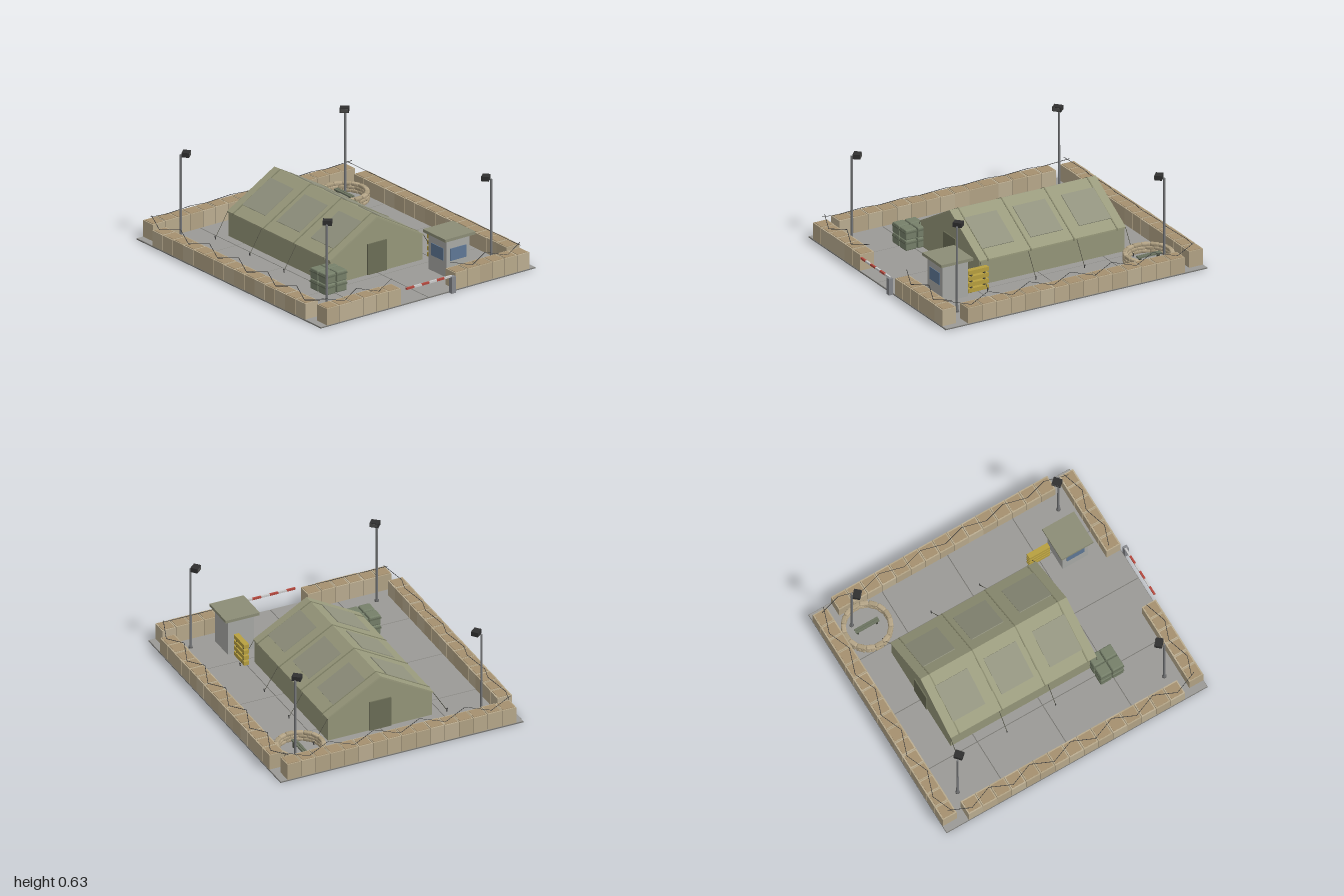
import * as THREE from 'three';
import { RoundedBoxGeometry } from 'three/addons/geometries/RoundedBoxGeometry.js';

const CX = -0.015; // middle of the compound in x
const mats = {};
const mat = (color) => (mats[color] ??= new THREE.MeshStandardMaterial({ color, flatShading: true }));

function add(parent, name, geometry, color, x = 0, y = 0, z = 0) {
  const mesh = new THREE.Mesh(geometry, mat(color));
  mesh.name = name;
  mesh.position.set(x, y, z);
  parent.add(mesh);
  return mesh;
}
const box = (parent, name, color, w, h, d, x, y, z) =>
  add(parent, name, new THREE.BoxGeometry(w, h, d), color, x, y, z);

function group(parent, name, x = 0, y = 0, z = 0) {
  const g = new THREE.Group();
  g.name = name;
  g.position.set(x, y, z);
  parent.add(g);
  return g;
}

// thin round bar between two points
function bar(parent, name, color, a, b, r, sides = 5) {
  const from = new THREE.Vector3(...a), to = new THREE.Vector3(...b);
  const dir = to.clone().sub(from);
  const m = add(parent, name, new THREE.CylinderGeometry(r, r, dir.length(), sides), color);
  m.position.copy(from).add(to).multiplyScalar(0.5);
  m.quaternion.setFromUnitVectors(new THREE.Vector3(0, 1, 0), dir.normalize());
  return m;
}

// (z, y) outline extruded along x, centred on its length
function alongX(points, length) {
  const shape = new THREE.Shape(points.map(([z, y]) => new THREE.Vector2(-z, y)));
  const geo = new THREE.ExtrudeGeometry(shape, { depth: length, bevelEnabled: false });
  return geo.translate(0, 0, -length / 2).rotateY(Math.PI / 2);
}

let seed = 7;
const rand = () => (seed = (seed * 16807) % 2147483647) / 2147483647;

// row of earth-filled bins running along local x, with zigzag wire above
function binWall(parent, name, x, z, length, count, height, turn, wireLength, segments) {
  const wall = group(parent, name, x, 0, z);
  wall.rotation.y = turn;
  const step = length / count;
  const shades = [0xb9aa8c, 0xb3a486, 0xbcae92];
  for (let i = 0; i < count; i++) {
    const bx = -length / 2 + (i + 0.5) * step;
    const h = height - 0.012 + rand() * 0.004;
    box(wall, 'bin', shades[Math.floor(rand() * 3)], step * 0.97, h, 0.105, bx, 0.008 + h / 2, 0);
    box(wall, 'earthFill', 0xa5906f, step * 0.82, 0.004, 0.086, bx, 0.009 + h, 0);
  }
  const point = (i) => [-wireLength / 2 + (i * wireLength) / segments, height + (i % 2 ? 0.008 : 0.045), i % 2 ? 0.027 : -0.027];
  for (let i = 0; i < segments; i++) bar(wall, 'wire', 0x3a3a3a, point(i), point(i + 1), 0.002, 4);
}

function buildTent(parent) {
  const tent = group(parent, 'tent', -0.125, 0.008, 0);
  const canvas = 0x96977a, dark = 0x6c6e57;
  const eave = 0.17, ridge = 0.385, half = 0.375;
  add(tent, 'tentBody', alongX([[-half, 0], [half, 0], [half, eave], [0, ridge], [-half, eave]], 1.09), canvas);
  const chevron = (out, t) => [[-half - out, eave - t], [-half - out, eave + t], [0, ridge + t + 0.003],
    [half + out, eave + t], [half + out, eave - t], [0, ridge - t]];
  add(tent, 'roof', alongX(chevron(0.008, 0.005), 1.1), 0x9a9b7d);
  for (const x of [-0.485, -0.162, 0.162, 0.485])
    add(tent, 'roofRib', alongX(chevron(0.01, 0.009), 0.008), 0x85866a, x);

  // window flaps on both slopes
  const slope = Math.atan2(ridge - eave, half);
  for (const s of [-1, 1]) {
    for (const x of [-0.365, 0, 0.365]) {
      const flap = box(tent, 'roofWindow', 0x92937f, 0.242, 0.006, 0.265, x, ridge - 0.19 * Math.tan(slope) + 0.01, s * 0.192);
      flap.rotation.x = s * slope;
    }
    // end doors
    box(tent, 'door', dark, 0.012, 0.215, 0.155, s * 0.547, 0.1075, 0);
    // guy ropes and stakes
    for (const x of [-0.55, -0.183, 0.183, 0.546]) {
      bar(tent, 'guyRope', 0x4a4a3e, [x, eave, s * 0.38], [x, 0.01, s * 0.48], 0.002, 4);
      bar(tent, 'stake', 0x444444, [x, 0, s * 0.478], [x, 0.025, s * 0.483], 0.004);
    }
  }
}

function buildBooth(parent) {
  const booth = group(parent, 'guardBooth', 0.673, 0.008, -0.397);
  box(booth, 'boothBody', 0xa9aaa6, 0.19, 0.258, 0.19, 0, 0.129, 0);
  box(booth, 'boothRoof', 0x8c8d76, 0.24, 0.02, 0.245, 0, 0.268, 0);
  box(booth, 'frontWindow', 0x5f7896, 0.13, 0.085, 0.006, 0, 0.152, 0.096);
  box(booth, 'sideWindow', 0x5f7896, 0.006, 0.085, 0.13, 0.096, 0.152, 0);

  // stacked yellow rails beside the booth
  const rails = group(parent, 'yellowRails', 0.478, 0.008, -0.442);
  for (let i = 0; i < 4; i++) box(rails, 'rail', 0xb8a040, 0.155, 0.028, 0.036, 0, 0.02 + i * 0.042, 0);
  for (const x of [-0.05, 0.05]) box(rails, 'railSpacer', 0x4c4a3a, 0.012, 0.15, 0.026, x, 0.077, 0);
}

function buildLight(parent, sx, sz) {
  const light = group(parent, 'lightMast', CX + sx * 0.78, 0.008, sz * 0.67);
  add(light, 'mastFoot', new THREE.CylinderGeometry(0.014, 0.016, 0.012, 8), 0x666666, 0, 0.006, 0);
  add(light, 'mast', new THREE.CylinderGeometry(0.007, 0.009, 0.6, 8), 0x77797b, 0, 0.3, 0);
  // lamp turned toward the middle of the compound
  const head = group(light, 'lampHead', -sx * 0.025, 0.607, -sz * 0.025);
  head.rotation.y = Math.atan2(-sx * 0.78, -sz * 0.67);
  box(head, 'lampCase', 0x303030, 0.06, 0.032, 0.05, 0, 0, 0);
  box(head, 'lampGlass', 0x4c4c4a, 0.05, 0.022, 0.004, 0, 0, 0.026);
}

function buildSandbagPost(parent) {
  const post = group(parent, 'sandbagPost', -0.72, 0.008, -0.6);
  const count = 16;
  const bag = new RoundedBoxGeometry(0.06, 0.025, 0.032, 1, 0.008);
  for (let layer = 0; layer < 3; layer++)
    for (let i = 0; i < count; i++) {
      const a = ((i + (layer % 2) / 2) / count) * Math.PI * 2;
      const m = add(post, 'sandbag', bag, i % 2 ? 0xb5a587 : 0xaa9b7d, Math.sin(a) * 0.153, 0.0125 + layer * 0.023, Math.cos(a) * 0.153);
      m.rotation.y = a;
    }
  // bench in the ring
  for (const z of [-0.013, 0.005]) box(post, 'benchPlank', 0x6c7360, 0.175, 0.01, 0.015, 0, 0.05, z);
  for (const x of [-0.07, 0.07]) box(post, 'benchLeg', 0x4a4d42, 0.01, 0.045, 0.025, x, 0.0225, -0.004);
}

function buildGate(parent) {
  const gate = group(parent, 'gateBarrier');
  box(gate, 'gatePost', 0x85878c, 0.03, 0.115, 0.033, 0.985, 0.0575, -0.187);
  for (let i = 0; i < 6; i++)
    box(gate, 'gateArmBand', i % 2 ? 0xd0d0cc : 0xb5483e, 0.013, 0.013, 0.0615, 0.98, 0.115, 0.155 - i * 0.0615);
}

export function createModel() {
  const root = new THREE.Group();
  root.name = 'fieldCamp';

  // paved ground
  box(root, 'groundSlab', 0x74736f, 1.97, 0.006, 1.75, CX, 0.003, 0);
  for (let i = 0; i < 4; i++)
    for (let j = 0; j < 4; j++)
      box(root, 'pavingPanel', 0x9b9a96, 0.487, 0.004, 0.432, CX + (i - 1.5) * 0.4925, 0.007, (j - 1.5) * 0.4375);

  // perimeter
  binWall(root, 'frontWall', CX, 0.82, 1.635, 15, 0.118, 0, 1.86, 12);
  binWall(root, 'backWall', CX, -0.82, 1.635, 15, 0.118, Math.PI, 1.86, 12);
  binWall(root, 'rightWall', -0.945, 0, 1.65, 16, 0.125, -Math.PI / 2, 1.64, 10);
  binWall(root, 'gateWallFront', 0.915, 0.522, 0.605, 6, 0.125, Math.PI / 2, 0.57, 4);
  binWall(root, 'gateWallBack', 0.915, -0.525, 0.605, 6, 0.125, Math.PI / 2, 0.57, 4);

  buildTent(root);
  buildBooth(root);
  buildSandbagPost(root);
  buildGate(root);
  for (const sx of [-1, 1]) for (const sz of [-1, 1]) buildLight(root, sx, sz);

  // crates stacked two by two by two
  const crates = group(root, 'crateStack', 0.466, 0.008, 0.428);
  const crate = new RoundedBoxGeometry(0.083, 0.072, 0.083, 1, 0.008);
  for (const x of [-0.045, 0.045])
    for (const z of [-0.045, 0.045])
      for (const y of [0.036, 0.11]) {
        add(crates, 'crate', crate, 0x76806a, x, y, z);
        box(crates, 'crateStrap', 0x656e5a, 0.087, 0.01, 0.087, x, y + 0.015, z);
      }
  return root;
}
